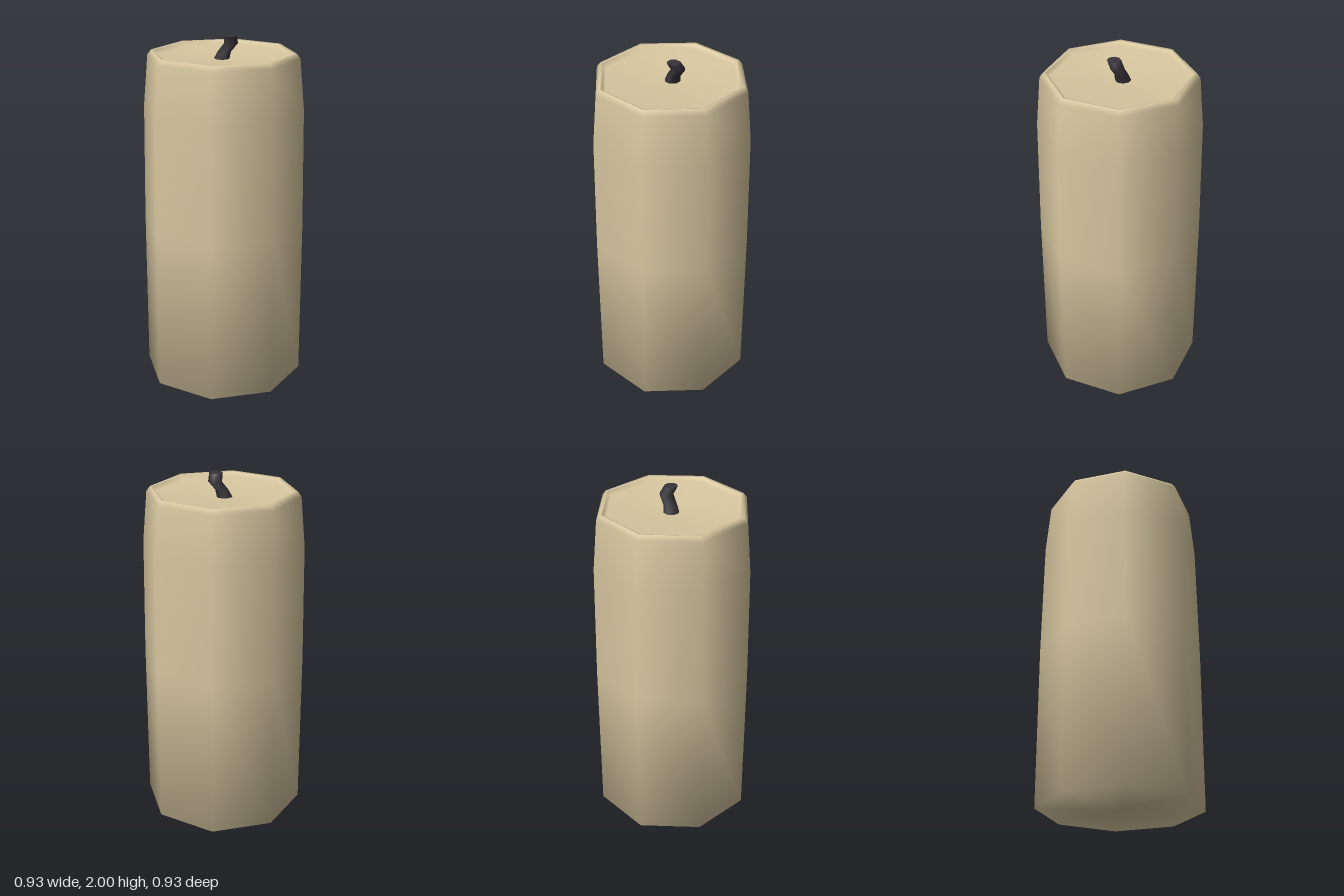
import * as THREE from 'three';

export function createModel() {
  const model = new THREE.Group();
  model.name = 'candle';

  // Eight-sided wax pillar: flat base, tapering shoulder, rim and shallow dished top
  const profile = [
    [0, 0], [0.463, 0], [0.463, 0.93], [0.453, 1.6], [0.427, 1.885],
    [0.405, 1.913], [0.39, 1.908], [0.375, 1.888], [0, 1.87],
  ].map(([r, y]) => new THREE.Vector2(r, y));
  const wax = new THREE.Mesh(
    new THREE.LatheGeometry(profile, 8),
    new THREE.MeshStandardMaterial({ color: 0xd8c7a0 })
  );
  wax.name = 'waxPillar';
  model.add(wax);

  // Bent wick: each ring of a cylinder is moved to its own centre, height and radius
  const rings = [ // x, y, z, radius, from the tip down
    [0.026, 2.0, 0.03, 0.037],
    [0.046, 1.957, 0.012, 0.038],
    [0.014, 1.91, -0.008, 0.037],
    [0, 1.86, -0.02, 0.045],
  ];
  const wickGeometry = new THREE.CylinderGeometry(1, 1, 3, 8, 3);
  const p = wickGeometry.attributes.position;
  for (let i = 0; i < p.count; i++) {
    const [x, y, z, r] = rings[Math.round(1.5 - p.getY(i))];
    p.setXYZ(i, x + p.getX(i) * r, y, z + p.getZ(i) * r);
  }
  wickGeometry.computeVertexNormals();
  const wick = new THREE.Mesh(
    wickGeometry,
    new THREE.MeshStandardMaterial({ color: 0x38343a })
  );
  wick.name = 'wick';
  model.add(wick);

  return model;
}
